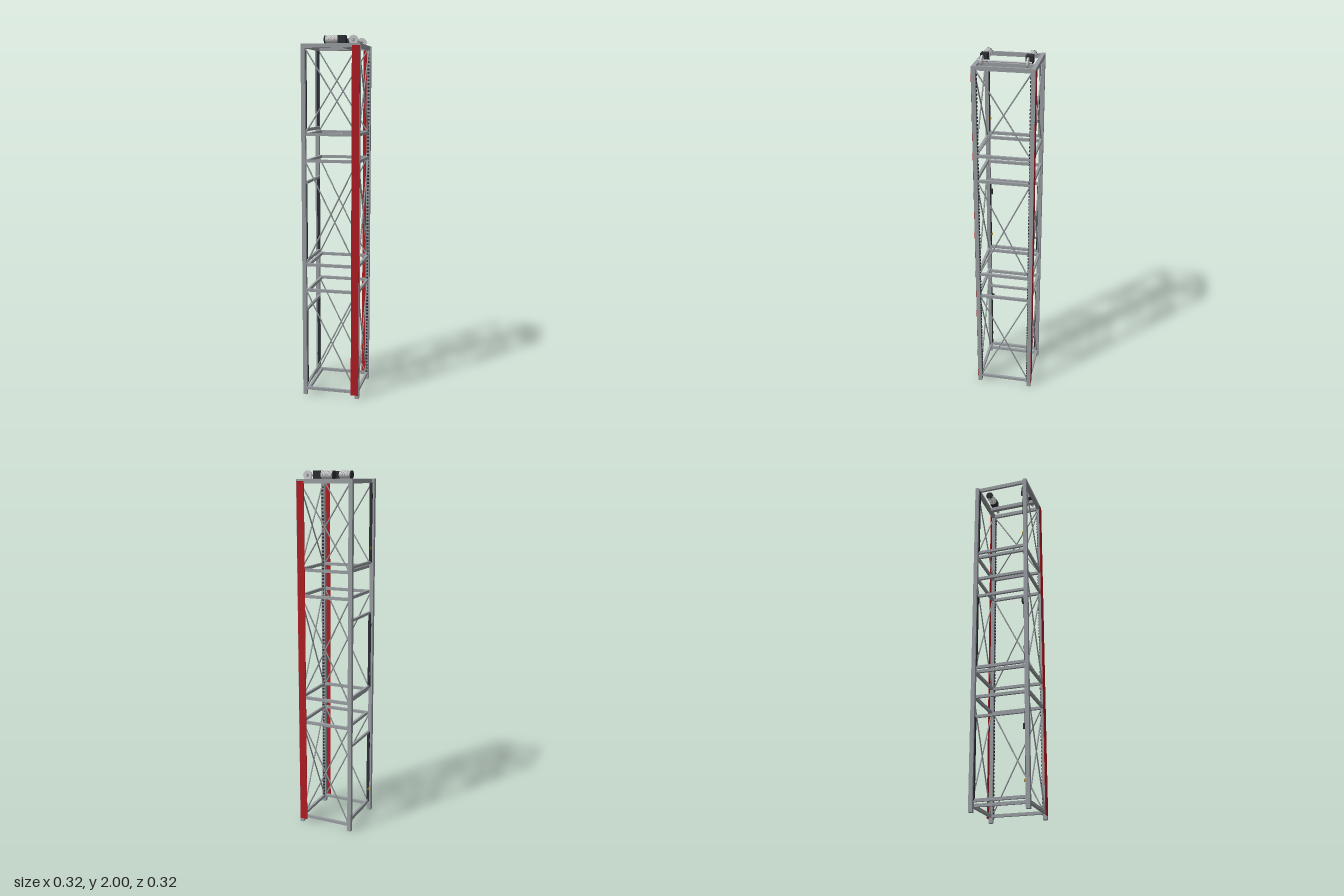
import * as THREE from 'three';
import { mergeGeometries } from 'three/addons/utils/BufferGeometryUtils.js';

const grey = new THREE.MeshStandardMaterial({ color: 0xcccccc });
const steel = new THREE.MeshStandardMaterial({ color: 0x9a9fa3 });
const dark = new THREE.MeshStandardMaterial({ color: 0x2b2e33 });
const red = new THREE.MeshStandardMaterial({ color: 0xb01c22 });
const brass = new THREE.MeshStandardMaterial({ color: 0xb09030 });

export function createModel() {
  const model = new THREE.Group();
  model.name = 'liftTower';

  const add = (name, geometry, material, x, y, z, parent = model) => {
    const mesh = new THREE.Mesh(geometry, material);
    mesh.name = name;
    mesh.position.set(x, y, z);
    parent.add(mesh);
    return mesh;
  };
  const box = (name, w, h, d, x, y, z, material = steel, parent = model) =>
    add(name, new THREE.BoxGeometry(w, h, d), material, x, y, z, parent);

  // Thin round bar between two points
  const rod = (name, a, b, radius) => {
    const dir = b.clone().sub(a);
    const mid = a.clone().add(b).multiplyScalar(0.5);
    const mesh = add(name, new THREE.CylinderGeometry(radius, radius, dir.length(), 8), steel, mid.x, mid.y, mid.z);
    mesh.quaternion.setFromUnitVectors(new THREE.Vector3(0, 1, 0), dir.normalize());
  };

  // Corner posts with feet
  for (const x of [-0.15, 0.15]) for (const z of [-0.15, 0.15]) {
    box('cornerPost', 0.022, 1.95, 0.022, x, 0.975, z);
  }

  // Top frame
  for (const s of [-1, 1]) box('topBeam', 0.32, 0.022, 0.021, 0, 1.945, s * 0.15);
  box('leftTopBeam', 0.013, 0.022, 0.28, 0.149, 1.945, 0);
  box('rightTopBeam', 0.013, 0.022, 0.28, -0.141, 1.945, 0);
  box('motorBeam', 0.022, 0.022, 0.28, 0.071, 1.945, 0);

  // Horizontal rails on every storey
  for (const y of [0.037, 0.615, 0.76, 1.337, 1.48]) {
    for (const s of [-1, 1]) box('crossRail', 0.28, 0.016, 0.014, 0, y, s * 0.15);
    box('leftRail', 0.013, 0.016, 0.28, 0.149, y, 0);
    box('rightRail', 0.013, 0.016, 0.28, -0.128, y, 0);
  }

  // Diagonal cross bracing on the front, back and left sides
  for (const [y0, y1] of [[0.05, 0.605], [0.77, 1.325], [1.49, 1.93]]) {
    for (const s of [-1, 1]) {
      for (const face of [-1, 1]) {
        rod('crossBrace', new THREE.Vector3(-0.138 * s, y0, face * 0.15),
          new THREE.Vector3(0.138 * s, y1, face * 0.15), 0.004);
      }
      rod('leftBrace', new THREE.Vector3(0.15, y0, -0.138 * s), new THREE.Vector3(0.15, y1, 0.138 * s), 0.004);
    }
  }

  // Loading openings on the right side: sill, lintel, dark jambs and sensors
  for (const [y0, y1] of [[0.06, 0.5], [0.78, 1.217], [1.503, 1.94]]) {
    box('openingSill', 0.013, 0.016, 0.28, -0.141, y0, 0);
    if (y1 < 1.9) box('openingLintel', 0.013, 0.014, 0.28, -0.141, y1, 0);
    for (const s of [-1, 1]) {
      box('openingJamb', 0.016, y1 - y0, 0.004, -0.143, (y0 + y1) / 2, s * 0.137, dark);
    }
    box('openingLatch', 0.012, 0.03, 0.012, -0.147, y0 + 0.36, 0.131, dark);
    box('openingSensor', 0.005, 0.014, 0.008, -0.148, y0 + 0.08, 0.132, brass);
    box('openingSensor', 0.005, 0.014, 0.008, -0.148, y0 + 0.08, -0.132, dark);
  }

  // Red cover strips and toothed racks beside the left posts
  for (const s of [-1, 1]) {
    box('coverStrip', 0.043, 1.925, 0.003, 0.1375, 0.9825, s * 0.161, red);
    const teeth = [];
    for (let y = 0.03; y < 1.93; y += 0.02) {
      teeth.push(new THREE.BoxGeometry(0.01, 0.01, 0.005).translate(0, y, 0));
    }
    add('rackTeeth', mergeGeometries(teeth), dark, 0.15, 0, s * 0.1365);
  }

  // Drive motors: ribbed body, dark fan cover and gearbox
  const profile = [[0, -0.033]];
  for (let i = 0; i < 9; i++) {
    const x = -0.033 + i * 0.0073;
    profile.push([0.0215, x], [0.0215, x + 0.005], [0.019, x + 0.005], [0.019, x + 0.0073]);
  }
  profile.push([0, 0.0327]);
  const body = new THREE.LatheGeometry(profile.map(p => new THREE.Vector2(...p)), 24);
  const ribbed = body.toNonIndexed();
  ribbed.computeVertexNormals();
  for (const s of [-1, 1]) {
    const motor = new THREE.Group();
    motor.name = 'driveMotor';
    motor.position.set(0, 1.978, s * 0.115);
    add('motorBody', ribbed, grey, 0, 0, 0, motor).rotation.z = -Math.PI / 2;
    add('fanCover', new THREE.CylinderGeometry(0.021, 0.021, 0.009, 24), dark, -0.0365, 0, 0, motor).rotation.z = Math.PI / 2;
    box('gearbox', 0.044, 0.04, 0.037, 0.054, 0, 0, dark, motor);
    model.add(motor);
  }

  // Pulley shaft with two wheels and end bearings
  const disc = (name, r, len, z, material) => {
    add(name, new THREE.CylinderGeometry(r, r, len, 32), material, 0.115, 1.975, z).rotation.x = Math.PI / 2;
  };
  disc('pulleyShaft', 0.0045, 0.27, 0, grey);
  for (const s of [-1, 1]) {
    disc('pulleyWheel', 0.025, 0.009, s * 0.115, grey);
    disc('pulleyHub', 0.009, 0.016, s * 0.115, steel);
  }

  return model;
}
